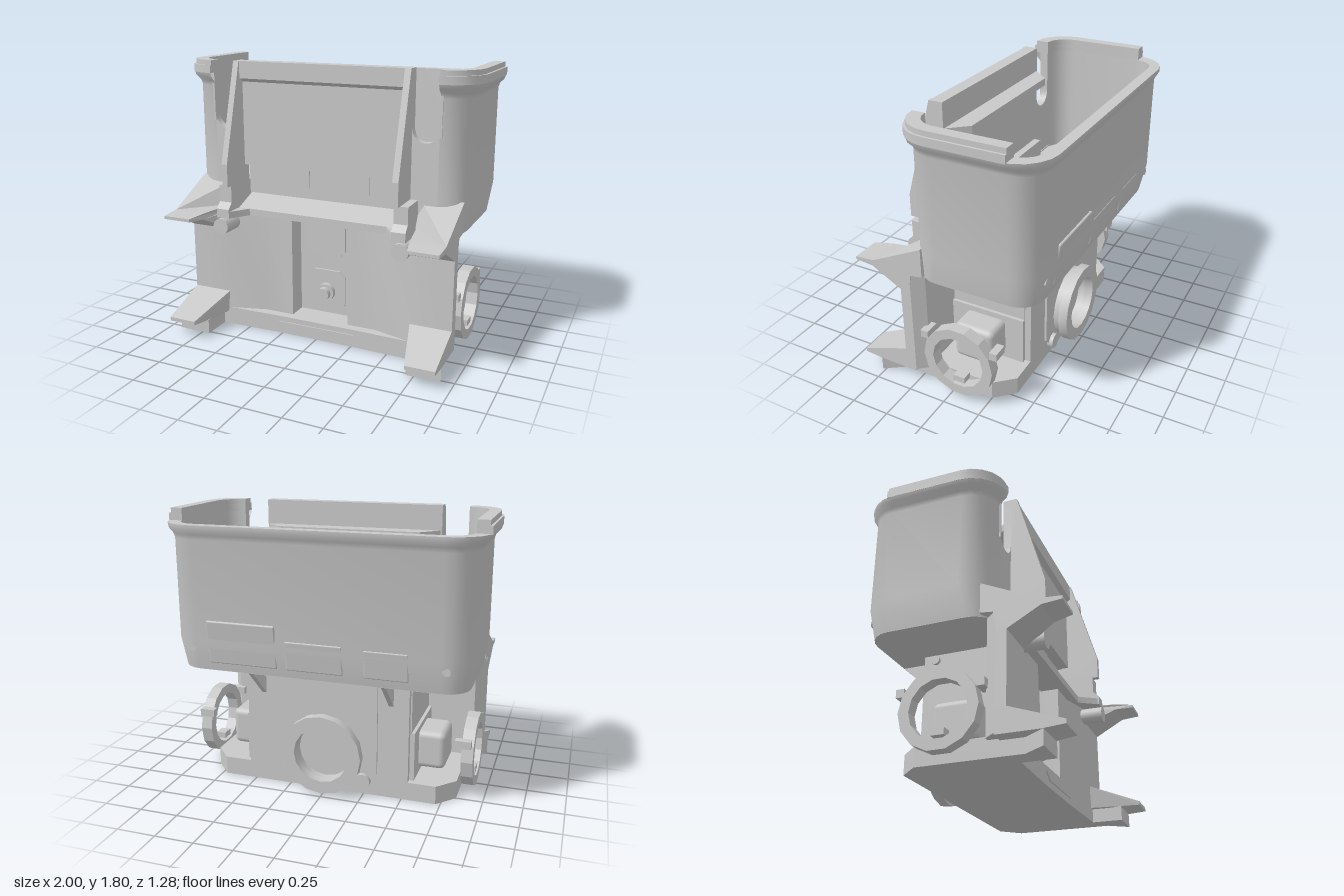
import * as THREE from 'three';
import { toCreasedNormals } from 'three/addons/utils/BufferGeometryUtils.js';
import { RoundedBoxGeometry } from 'three/addons/geometries/RoundedBoxGeometry.js';
import { ConvexGeometry } from 'three/addons/geometries/ConvexGeometry.js';

export function createModel() {
  const model = new THREE.Group();
  const grey = new THREE.MeshStandardMaterial({ color: 0xc8c8c8, side: THREE.DoubleSide });
  grey.name = 'plain grey';

  const add = (name, geo) => {
    const mesh = new THREE.Mesh(geo, grey);
    mesh.name = name;
    model.add(mesh);
    return mesh;
  };
  // box from its limits
  const box = (name, x0, x1, y0, y1, z0, z1) => add(name,
    new THREE.BoxGeometry(x1 - x0, y1 - y0, z1 - z0).translate((x0 + x1) / 2, (y0 + y1) / 2, (z0 + z1) / 2));
  const shapeOf = pts => new THREE.Shape(pts.map(p => new THREE.Vector2(p[0], p[1])));
  const extrude = (shape, depth, curveSegments = 8) =>
    new THREE.ExtrudeGeometry(shape, { depth, bevelEnabled: false, curveSegments });
  // plan outline [x, z] raised from y0 to y1
  const plan = (name, pts, y0, y1) => add(name, toCreasedNormals(
    extrude(shapeOf(pts.map(([x, z]) => [x, -z])), y1 - y0).rotateX(-Math.PI / 2).translate(0, y0, 0), 0.6));
  // side outline [z, y] spanning x0 to x1
  const sideGeo = (pts, x0, x1) => extrude(shapeOf(pts), x1 - x0).rotateY(-Math.PI / 2).translate(x1, 0, 0);
  const mirrorX = pts => [...pts, ...pts.map(([x, z]) => [-x, z]).reverse()];

  // rounded path round the tub, open along the front
  const arc = (cx, cz, r, a0) => Array.from({ length: 6 }, (_, i) => {
    const a = a0 - (i / 5) * Math.PI / 2;
    return [cx + r * Math.cos(a), cz + r * Math.sin(a)];
  });
  const tubPath = (X, zf, zb) => {
    const r = X - 0.77;
    return mirrorX([...arc(0.77, zf - r, r, Math.PI / 2), ...arc(0.77, zb + r, r, 0)]);
  };

  // tub walls: outside upwards, over the rim, inside downwards
  const rows = [
    [0.81, 0.92, 0.22, -0.57], [1.0, 0.95, 0.22, -0.61], [1.63, 0.95, 0.22, -0.61],
    [1.66, 0.96, 0.23, -0.62], [1.69, 0.99, 0.26, -0.64], [1.72, 1.0, 0.27, -0.64],
    [1.72, 0.91, 0.17, -0.57], [0.86, 0.905, 0.17, -0.565]];
  const pos = [], index = [];
  rows.forEach(([y, X, zf, zb], j) => {
    const path = tubPath(X, zf, zb), n = path.length;
    path.forEach(([x, z], i) => {
      pos.push(x, y, z);
      if (j < rows.length - 1 && i < n - 1) {
        const a = j * n + i, b = a + n;
        index.push(a, a + 1, b, a + 1, b + 1, b);
      }
    });
  });
  const tub = new THREE.BufferGeometry();
  tub.setAttribute('position', new THREE.Float32BufferAttribute(pos, 3));
  tub.setIndex(index);
  add('tubWalls', toCreasedNormals(tub, 0.7));
  plan('tubFloor', tubPath(0.92, 0.22, -0.57), 0.808, 0.86);

  // front wall with two U slots and a recess opening
  const front = new THREE.Shape();
  front.moveTo(-0.77, 0.81).lineTo(0.77, 0.81).lineTo(0.77, 1.445);
  front.absarc(0.685, 1.445, 0.085, 0, Math.PI, true);
  front.lineTo(0.6, 1.8).lineTo(-0.6, 1.8).lineTo(-0.6, 1.445);
  front.absarc(-0.685, 1.445, 0.085, 0, Math.PI, true);
  front.closePath();
  front.holes.push(shapeOf([[-0.56, 0.84], [-0.56, 1.12], [0.56, 1.12], [0.56, 0.84]]));
  add('frontWall', toCreasedNormals(extrude(front, 0.05).translate(0, 0, 0.17), 0.6));
  add('frontLip', sideGeo([[0.18, 1.8], [0.255, 1.8], [0.255, 1.69], [0.21, 1.66], [0.18, 1.66]], -0.57, 0.57));
  plan('insideLedge', [[-0.6, 0.18], [0.6, 0.18], [0.48, 0.05], [-0.48, 0.05]], 1.59, 1.64);

  // recess below the front panel
  box('recessBack', -0.57, 0.57, 0.82, 1.14, 0.12, 0.14);
  box('recessRoof', -0.57, 0.57, 1.12, 1.14, 0.13, 0.2);
  add('recessFloor', sideGeo([[0.13, 0.8], [0.31, 0.8], [0.31, 0.845], [0.14, 0.91], [0.13, 0.91]], -0.56, 0.56));
  box('recessPlate', -0.36, -0.12, 0.98, 1.12, 0.14, 0.148);
  box('recessPlate', 0.11, 0.3, 0.98, 1.12, 0.14, 0.148);

  // covers low on the tub back
  [[0.24, 0.69, 0.28], [-0.18, 0.18, 0.19], [-0.58, -0.31, 0.18]].forEach(([x0, x1, h]) => {
    const cover = add('backCover', new RoundedBoxGeometry(x1 - x0, h, 0.02, 2, 0.009));
    cover.position.set((x0 + x1) / 2, 0.86 + h / 2, h > 0.2 ? -0.597 : -0.592);
    cover.rotation.x = -0.14;
  });

  // claw tips narrow towards the front on their inner side
  const clawRule = (geo, s, inner) => {
    const p = geo.attributes.position;
    for (let i = 0; i < p.count; i++) p.setX(i, s * (s * p.getX(i) > 0 ? 0.92 : inner(p.getZ(i))));
    geo.computeVertexNormals();
    return geo;
  };
  const span = (s, a, b) => s > 0 ? [a, b] : [-b, -a];

  for (const s of [1, -1]) {
    const flip = pts => pts.map(([x, z]) => [s * x, z]);
    const sBox = (name, a, b, ...rest) => box(name, ...span(s, a, b), ...rest);

    // raised rim along the side and front corner, rounded off at the top
    const rim = (r, x) => flip([[x, -0.45], ...arc(0.77, 0.04, r, Math.PI / 2).reverse(),
      ...arc(0.77, 0.03, 0.14, Math.PI / 2), [0.91, -0.45]]);
    plan('raisedRim', rim(0.23, 1), 1.715, 1.765);
    plan('raisedRimTop', rim(0.215, 0.985), 1.76, 1.797);
    sBox('slotEdge', 0.77, 0.785, 1.4, 1.795, 0.17, 0.225);
    plan('insideStep', flip([[0.91, -0.34], [0.65, -0.34], [0.57, 0.17], [0.77, 0.17], [0.9, 0.1]]), 0.85, 1.0);
    add('backScrew', new THREE.CylinderGeometry(0.025, 0.025, 0.02, 12).rotateX(Math.PI / 2)
      .translate(s * 0.8, 0.95, -0.59));

    // front ribs, their brackets and corner gussets
    add('frontRib', sideGeo([[0.18, 1.8], [0.26, 1.8], [0.44, 1.16], [0.44, 1.01], [0.18, 1.01]],
      ...span(s, 0.56, 0.6)));
    add('ribBracket', sideGeo([[0.18, 1.01], [0.4, 1.01], [0.4, 0.9], [0.44, 0.86], [0.44, 0.8], [0.18, 0.8]],
      ...span(s, 0.56, 0.65)));
    plan('shelfGusset', flip([[0.47, 0.3], [0.48, 0.31], [0.56, 0.43], [0.58, 0.43], [0.58, 0.3]]), 0.8, 0.845);

    // upper claw plate with a sloping brace
    add('upperClaw', clawRule(sideGeo([[0.16, 0.845], [0.51, 0.84], [0.64, 0.83], [0.64, 0.81],
      [0.52, 0.8], [0.32, 0.69], [0.26, 0.69], [0.24, 0.81], [0.16, 0.82]], -0.1, 0.1), s,
      z => z > 0.6 ? 0.73 : z > 0.48 ? 0.7 : 0.64));
    add('clawBrace', new ConvexGeometry([[0.64, 1.01, 0.16], [0.92, 1.01, 0.16], [0.92, 0.84, 0.51],
      [0.64, 0.84, 0.25], [0.64, 0.84, 0.16], [0.92, 0.84, 0.16]].map(([x, y, z]) => new THREE.Vector3(s * x, y, z))));

    // lower claw and foot
    add('lowerClaw', clawRule(sideGeo([[0.25, 0.24], [0.32, 0.24], [0.64, 0.125], [0.64, 0.1],
      [0.51, 0.09], [0.25, 0.09]], -0.1, 0.1), s,
      z => z > 0.6 ? 0.73 : z > 0.48 ? 0.71 : 0.65));
    plan('foot', flip([[0.7, 0.28], [0.7, 0.52], [0.92, 0.52], [0.83, 0.39], [0.83, 0.28]]), 0, 0.095);
    add('frontPin', new THREE.CylinderGeometry(0.054, 0.054, 0.23, 20).rotateX(Math.PI / 2)
      .translate(s * 0.62, 0.742, 0.335));

    // side ring with clips
    const ringShape = new THREE.Shape().absarc(-0.07, 0.28, 0.24, 0, Math.PI * 2);
    ringShape.holes.push(new THREE.Path().absarc(-0.07, 0.28, 0.175, 0, Math.PI * 2));
    add('sideRing', extrude(ringShape, 0.075, 7).rotateY(-Math.PI / 2).translate(s > 0 ? 0.932 : -0.857, 0, 0));
    for (const z of [-0.31, 0.17]) {
      sBox('ringClip', 0.82, 0.92, 0.38, 0.43, z - 0.025, z + 0.025);
      add('sideScrew', new THREE.CylinderGeometry(0.028, 0.028, 0.03, 16).rotateZ(Math.PI / 2)
        .translate(s * 0.555, 0.765, z < 0 ? -0.285 : 0.15));
    }
    sBox('ringClip', 0.86, 0.925, 0.13, 0.17, -0.11, -0.03);

    // recessed side wall with its block
    sBox('sidePanel', 0.54, 0.549, 0.12, 0.795, -0.33, 0.18);
    sBox('sideBracket', 0.54, 0.57, 0.12, 0.44, -0.33, 0.18);
    add('sideBlock', new RoundedBoxGeometry(0.2, 0.25, 0.28, 3, 0.04).translate(s * 0.64, 0.28, -0.065));

    // triangular supports under the tub
    add('backGusset', sideGeo([[-0.36, 0.61], [-0.57, 0.81], [-0.36, 0.81]], ...span(s, 0.41, 0.44)));
  }

  // lower body with dished front and central channel
  plan('lowerBody', mirrorX([[0.2, 0.12], [0.2, 0.25], [0.4, 0.25], [0.65, 0.32], [0.92, 0.32],
    [0.92, 0.25], [0.86, 0.18], [0.54, 0.18], [0.54, -0.37]]), 0.1, 0.81);
  plan('base', mirrorX([[0.27, 0.31], [0.65, 0.32], [0.83, 0.32], [0.83, -0.25], [0.72, -0.37]]), 0, 0.12);
  add('basePlate', extrude(shapeOf([[-0.27, 0.085], [-0.2, 0.04], [0.2, 0.04], [0.27, 0.085]]), 0.008)
    .translate(0, 0, 0.31));

  // channel plates and knob
  const chamfered = (x, y0, y1, c) => shapeOf([[-x + c, y0], [x - c, y0], [x, y0 + c], [x, y1 - c],
    [x - c, y1], [-x + c, y1], [-x, y1 - c], [-x, y0 + c]]);
  add('channelPlate', extrude(chamfered(0.13, 0.53, 0.77, 0.04), 0.02).translate(0, 0, 0.115));
  add('channelPlate', extrude(chamfered(0.13, 0.15, 0.43, 0.04), 0.02).translate(0, 0, 0.115));
  add('knobCollar', new THREE.CylinderGeometry(0.06, 0.06, 0.04, 24).rotateX(Math.PI / 2).translate(0, 0.28, 0.15));
  add('knob', new THREE.CylinderGeometry(0.042, 0.042, 0.06, 24).rotateX(Math.PI / 2).translate(0, 0.28, 0.18));

  // back panel, stepped ring and lower bosses
  add('backPanel', extrude(chamfered(0.34, 0.1, 0.8, 0.05), 0.02).translate(0, 0, -0.385));
  for (const [name, r, z, depth] of [['backRing', 0.262, -0.49, 0.06], ['backRingNeck', 0.235, -0.43, 0.06]]) {
    const ring = new THREE.Shape().absarc(0, 0.28, r, 0, Math.PI * 2);
    ring.holes.push(new THREE.Path().absarc(0, 0.28, 0.18, 0, Math.PI * 2));
    add(name, toCreasedNormals(extrude(ring, depth, 8).translate(0, 0, z), 0.5));
  }
  for (const x of [-0.25, 0.25])
    add('backBoss', new THREE.CylinderGeometry(0.05, 0.05, 0.05, 16).rotateX(Math.PI / 2).translate(x, 0.1, -0.385));

  return model;
}
